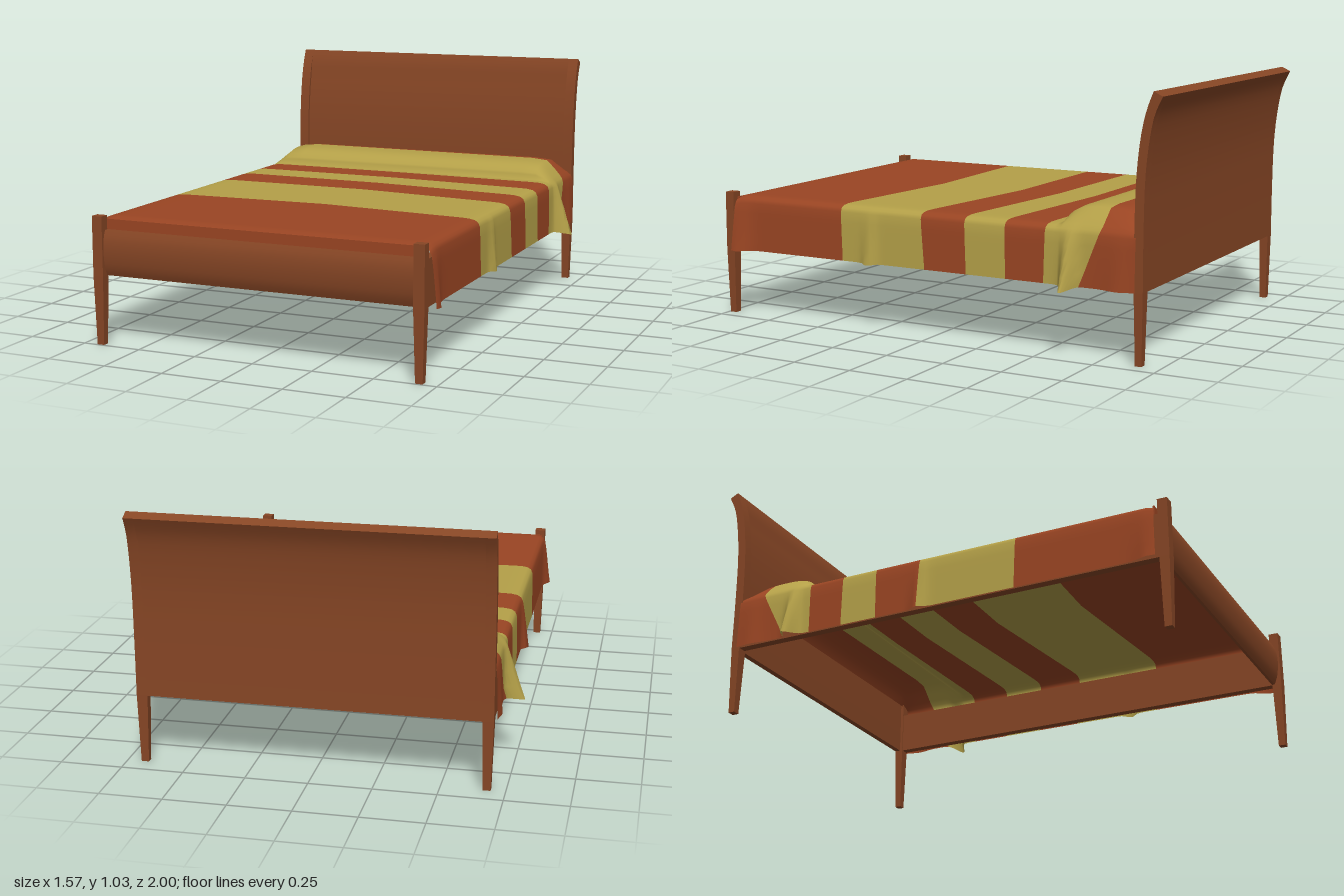
import * as THREE from 'three';
import { toCreasedNormals } from 'three/addons/utils/BufferGeometryUtils.js';

const mat = (name, color, side = THREE.FrontSide) => {
  const m = new THREE.MeshStandardMaterial({ color, side });
  m.name = name;
  return m;
};

// Extrude a [z, y] profile along x, centred on x
function profileGeometry(points, width, x = 0) {
  const shape = new THREE.Shape(points.map(([z, y]) => new THREE.Vector2(z, y)));
  const g = new THREE.ExtrudeGeometry(shape, { depth: width, bevelEnabled: false });
  g.rotateY(-Math.PI / 2).translate(x + width / 2, 0, 0);
  return toCreasedNormals(g, 0.6);
}

// Smooth curve through a few [z, y] points
const smooth = (pts, n = 14) =>
  new THREE.SplineCurve(pts.map(([z, y]) => new THREE.Vector2(z, y))).getPoints(n).map(p => [p.x, p.y]);

// Square leg, narrower at the floor
function legGeometry(x, z, height, wx, wz) {
  const g = new THREE.BoxGeometry(wx, height, wz);
  const p = g.attributes.position;
  for (let i = 0; i < p.count; i++) {
    if (p.getY(i) < 0) p.setXYZ(i, p.getX(i) * 0.68, p.getY(i), p.getZ(i) * 0.72);
  }
  g.translate(x, height / 2, z);
  g.computeVertexNormals();
  return g;
}

// Stripe edges as z at [left hem, left edge, centre, right edge, right hem]; rows and colour lead to the next edge
const EDGES = [
  { z: [0.955, 0.945, 0.945, 0.945, 0.955], rows: 18, c: 0 },
  { z: [0.37, 0.375, 0.345, 0.41, 0.40], rows: 16, c: 1 },
  { z: [-0.04, -0.045, -0.05, 0.03, 0.01], rows: 8, c: 0 },
  { z: [-0.24, -0.245, -0.235, -0.17, -0.18], rows: 4, c: 1 },
  { z: [-0.40, -0.40, -0.40, -0.35, -0.355], rows: 4, c: 0 },
  { z: [-0.55, -0.555, -0.55, -0.525, -0.52], rows: 3, c: 1 },
  { z: [-0.58, -0.58, -0.58, -0.58, -0.58], rows: 2, c: 1 },
  { z: [-0.592, -0.592, -0.592, -0.592, -0.592], rows: 10, c: 1 },
  { z: [-0.67, -0.79, -0.775, -0.76, -0.67], rows: 12, c: 0 },
  { z: [-0.9, -0.9, -0.9, -0.9, -0.9] },
];
// Half cross-section from centre to hem: [x, drop below the top]
const HALF = [[0, 0], [0.2, 0], [0.4, 0], [0.55, 0], [0.62, 0], [0.655, 0.001], [0.68, 0.005], [0.695, 0.014],
  [0.702, 0.03], [0.704, 0.07], [0.705, 0.12], [0.706, 0.18], [0.707, 0.23]];
// Folds that swing outward: [side, z, reach, width]
const FOLDS = [[1, -0.625, 0.078, 0.026], [-1, -0.632, 0.078, 0.026], [1, 0.93, 0.03, 0.05], [-1, 0.93, 0.03, 0.05],
  [1, 0.27, 0.026, 0.025], [-1, -0.045, 0.03, 0.025], [1, -0.83, 0.012, 0.05], [-1, -0.83, 0.012, 0.05]];

function blanketPoint(x0, drop, edge, next, t) {
  const side = Math.sign(x0) || 1, d = drop / 0.23;
  const at = z => {
    const top = THREE.MathUtils.lerp(z[2], z[2 + side], Math.min(1, Math.abs(x0) / 0.7));
    return THREE.MathUtils.lerp(top, z[2 + 2 * side], d);
  };
  const z = THREE.MathUtils.lerp(at(edge.z), at(next.z), t);
  let fold = 0;
  for (const [s, fz, reach, w] of FOLDS) if (s === side) fold += reach * Math.exp(-(((z - fz) / w) ** 2));
  // Pillow swelling below the cover
  const k = THREE.MathUtils.clamp((-0.58 - z) / 0.318, 0, 1);
  const swell = 0.073 * Math.sqrt(Math.max(0, 1 - Math.abs(2 * k - 1) ** 3));
  const fade = 1 - THREE.MathUtils.smoothstep(Math.abs(x0), 0.6, 0.706);
  const frontRound = z > 0.9 ? 0.008 * ((z - 0.9) / 0.045) ** 2 * (1 - d) : 0;
  return [x0 + side * fold * d, 0.51 - drop + swell * fade - frontRound - fold * d * 0.17, z];
}

function blanketGeometry() {
  const cols = [...HALF.slice(1).reverse().map(([x, d]) => [-x, d]), ...HALF];
  const n = cols.length, pos = [], index = [], g = new THREE.BufferGeometry();
  let row = 0;
  for (let e = 0; e < EDGES.length - 1; e++) {
    const start = index.length, last = e === EDGES.length - 2;
    for (let r = 0; r < EDGES[e].rows + (last ? 1 : 0); r++) {
      for (const [x, d] of cols) pos.push(...blanketPoint(x, d, EDGES[e], EDGES[e + 1], r / EDGES[e].rows));
    }
    for (let r = 0; r < EDGES[e].rows; r++, row++) {
      for (let i = 0; i < n - 1; i++) {
        const a = row * n + i, b = a + 1, c = a + n, d = c + 1;
        index.push(a, b, c, b, d, c);
      }
    }
    g.addGroup(start, index.length - start, EDGES[e].c);
  }
  g.setAttribute('position', new THREE.Float32BufferAttribute(pos, 3));
  g.setIndex(index);
  g.computeVertexNormals();
  return g;
}

export function createModel() {
  const bed = new THREE.Group();
  bed.name = 'bed';
  const wood = mat('brownWood', 0x874625);
  const rust = mat('rustCloth', 0x9a4523, THREE.DoubleSide);
  const gold = mat('goldCloth', 0xb4a048, THREE.DoubleSide);
  const add = (name, geometry, material) => {
    const m = new THREE.Mesh(geometry, material);
    m.name = name;
    bed.add(m);
  };
  const box = (name, w, h, d, x, y, z, m) => add(name, new THREE.BoxGeometry(w, h, d).translate(x, y, z), m);

  // Headboard: curved back, posts at both sides, recessed panel and top rim
  const front = smooth([[-0.893, 0.28], [-0.893, 0.5], [-0.898, 0.7], [-0.913, 0.85], [-0.934, 0.95], [-0.963, 1.028]]);
  const back = smooth([[-0.93, 0.28], [-0.93, 0.5], [-0.934, 0.7], [-0.948, 0.84], [-0.968, 0.94], [-1.0, 1.01]]).reverse();
  const recessed = front.map(([z, y]) => [z - 0.012 * (1 - THREE.MathUtils.smoothstep(y, 0.9, 1.01)), y]);
  add('headboardPanel', profileGeometry([...recessed, ...back], 1.32), wood);

  // Footboard: bulging panel between the posts
  const bulge = smooth([[0.97, 0.28], [0.985, 0.32], [0.992, 0.38], [0.988, 0.43], [0.976, 0.463]], 10);
  add('footboardPanel', profileGeometry([[0.958, 0.28], ...bulge, [0.956, 0.463]], 1.32), wood);

  for (const s of [-1, 1]) {
    const side = s > 0 ? 'left' : 'right';
    add(side + 'HeadPost', profileGeometry([...front, ...back], 0.044, s * 0.678), wood);
    add(side + 'BackLeg', legGeometry(s * 0.678, -0.9115, 0.28, 0.044, 0.037), wood);
    box(side + 'FootPost', 0.044, 0.24, 0.04, s * 0.678, 0.4, 0.98, wood);
    add(side + 'FrontLeg', legGeometry(s * 0.678, 0.98, 0.28, 0.044, 0.04), wood);
    box(side + 'SideRail', 0.036, 0.18, 1.86, s * 0.679, 0.37, 0.03, wood);
  }

  // Striped cover draped over mattress and pillow, with its short front fall
  add('blanket', blanketGeometry(), [rust, gold]);
  box('blanketFrontFall', 1.38, 0.07, 0.006, 0, 0.467, 0.942, rust);
  return bed;
}
